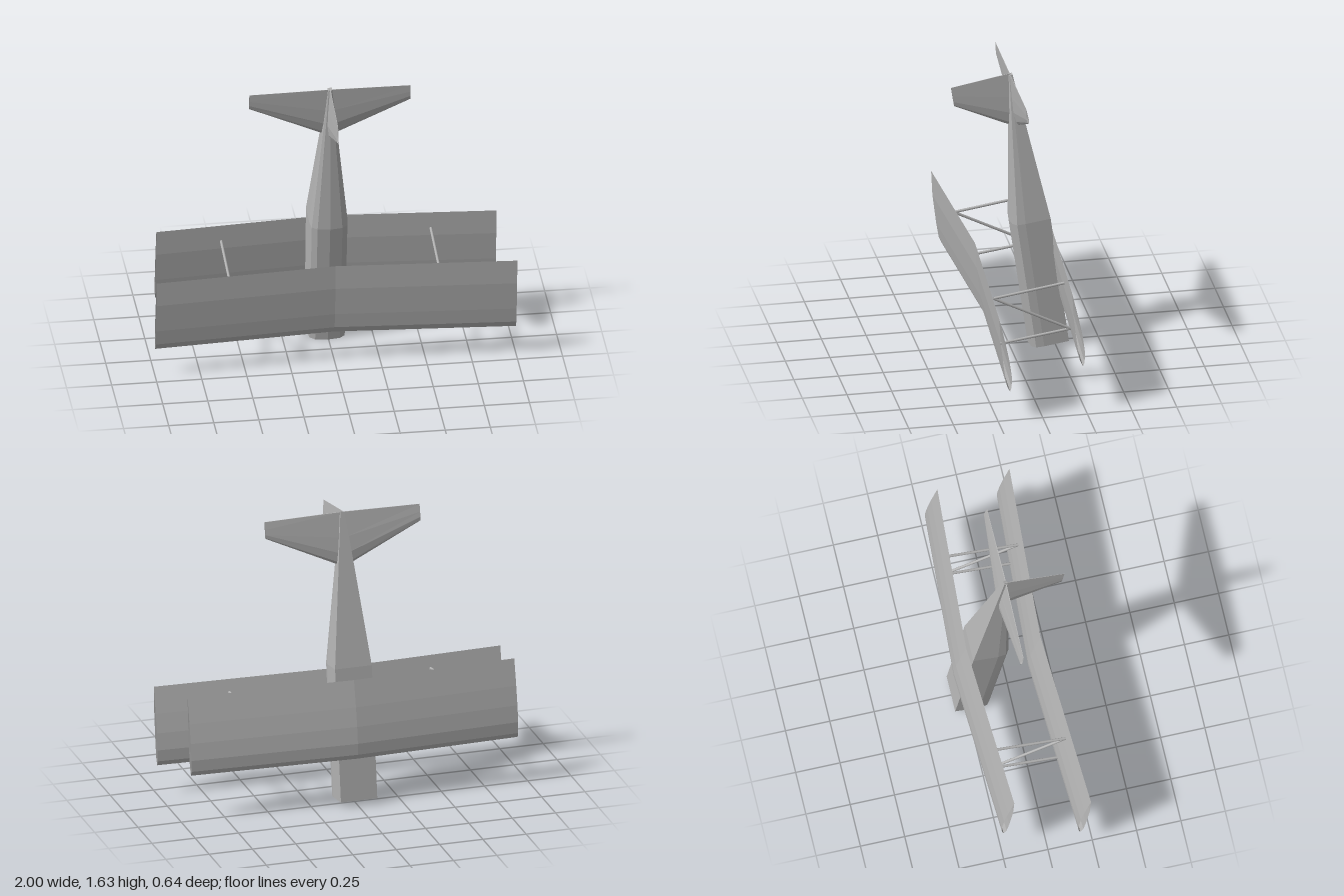
import * as THREE from 'three';

const grey = new THREE.MeshStandardMaterial({ color: 0xb2b2b2, side: THREE.DoubleSide });
grey.name = 'grey';
const MID = -0.005; // centre line of the fuselage

// Faceted skin through equal-length closed loops of [x, y, z]; the ends stay open unless capped.
function loft(name, loops, capped = false) {
  const out = [];
  const n = loops[0].length;
  for (let s = 0; s < loops.length - 1; s++) {
    for (let i = 0; i < n; i++) {
      const j = (i + 1) % n;
      const [a, b, c, d] = [loops[s][i], loops[s][j], loops[s + 1][j], loops[s + 1][i]];
      out.push(...a, ...b, ...c, ...a, ...c, ...d);
    }
  }
  if (capped) {
    const first = loops[0], last = loops[loops.length - 1];
    for (let i = 1; i < n - 1; i++) {
      out.push(...first[0], ...first[i + 1], ...first[i]);
      out.push(...last[0], ...last[i], ...last[i + 1]);
    }
  }
  const geo = new THREE.BufferGeometry();
  geo.setAttribute('position', new THREE.Float32BufferAttribute(out, 3));
  geo.computeVertexNormals();
  const mesh = new THREE.Mesh(geo, grey);
  mesh.name = name;
  return mesh;
}

// Fuselage: flat belly at the back, rounded deck at the front
function fuselageLoop(front, back, half) {
  const side = [[0.65, 0.04], [0.93, 0.14], [1, 0.35], [1, 1]]; // [width, depth]
  const outline = [[0, 0], ...side, ...side.slice().reverse().map(([w, d]) => [-w, d])];
  return outline.map(([w, d]) => [
    MID + w * half,
    front[1] + (back[1] - front[1]) * d,
    front[0] + (back[0] - front[0]) * d,
  ]);
}

// Wing tip section as [z, y], trailing edge first
const WING = [
  [0.243, 0.616], [0.236, 0.47], [0.215, 0.3], [0.2, 0.21], [0.183, 0.174],
  [0.174, 0.2], [0.173, 0.265], [0.186, 0.36], [0.208, 0.468],
];

function wing(name, centre, half, dz, dy) {
  const section = (x, sweepZ, sweepY) =>
    WING.map(([z, y]) => [x, y + dy + sweepY, z + dz + sweepZ]);
  return loft(name, [
    section(centre - half, 0, 0),
    section(centre, -0.055, 0.007),
    section(centre + half, 0, 0),
  ]);
}

// Symmetric thin section between a leading and a trailing edge point
function foil(lead, trail, across, thick) {
  const shape = [[0, 0], [0.06, 0.6], [0.25, 1], [0.55, 0.75], [1, 0.12]];
  const pts = [...shape, ...shape.slice(1).reverse().map(([t, h]) => [t, -h])];
  return pts.map(([t, h]) =>
    lead.map((v, k) => v + (trail[k] - v) * t + across[k] * h * thick));
}

function strut(name, x, [z1, y1], [z2, y2]) {
  const path = new THREE.LineCurve3(new THREE.Vector3(x, y1, z1), new THREE.Vector3(x, y2, z2));
  const mesh = new THREE.Mesh(new THREE.TubeGeometry(path, 1, 0.008, 8), grey);
  mesh.name = name;
  return mesh;
}

export function createModel() {
  const model = new THREE.Group();
  model.name = 'biplane';

  // Body, nose down
  model.add(loft('fuselage', [
    fuselageLoop([-0.107, 0.002], [-0.318, 0.034], 0.105),
    fuselageLoop([0, 0.75], [-0.216, 0.782], 0.106),
    fuselageLoop([0, 1.622], [-0.02, 1.63], 0.012),
  ], true));

  // Wings
  model.add(wing('upperWing', 0, 1, 0, 0));
  model.add(wing('lowerWing', -0.003, 0.943, -0.42, 0.09));

  // Interplane struts, an N on each side
  for (const [side, x] of [['left', 0.579], ['right', -0.583]]) {
    const group = new THREE.Group();
    group.name = side + 'Struts';
    group.add(
      strut('rearStrut', x, [-0.2, 0.61], [0.195, 0.55]),
      strut('diagonalStrut', x, [0.195, 0.55], [-0.235, 0.332]),
      strut('frontStrut', x, [-0.235, 0.332], [0.18, 0.272]),
    );
    model.add(group);
  }

  // Tailplane
  const up = [0, 0.14, 0.99];
  const tip = (x) => foil([x, 1.525, -0.026], [x, 1.618, -0.012], up, 0.007);
  model.add(loft('tailplane', [
    tip(MID - 0.447),
    foil([MID, 1.315, -0.05], [MID, 1.624, -0.008], up, 0.018),
    tip(MID + 0.447),
  ]));

  // Tail fin
  const sideways = [1, 0, 0];
  model.add(loft('tailFin', [
    foil([MID, 1.32, -0.01], [MID, 1.632, -0.015], sideways, 0.015),
    foil([MID, 1.459, 0.304], [MID, 1.571, 0.322], sideways, 0.006),
  ]));

  return model;
}
